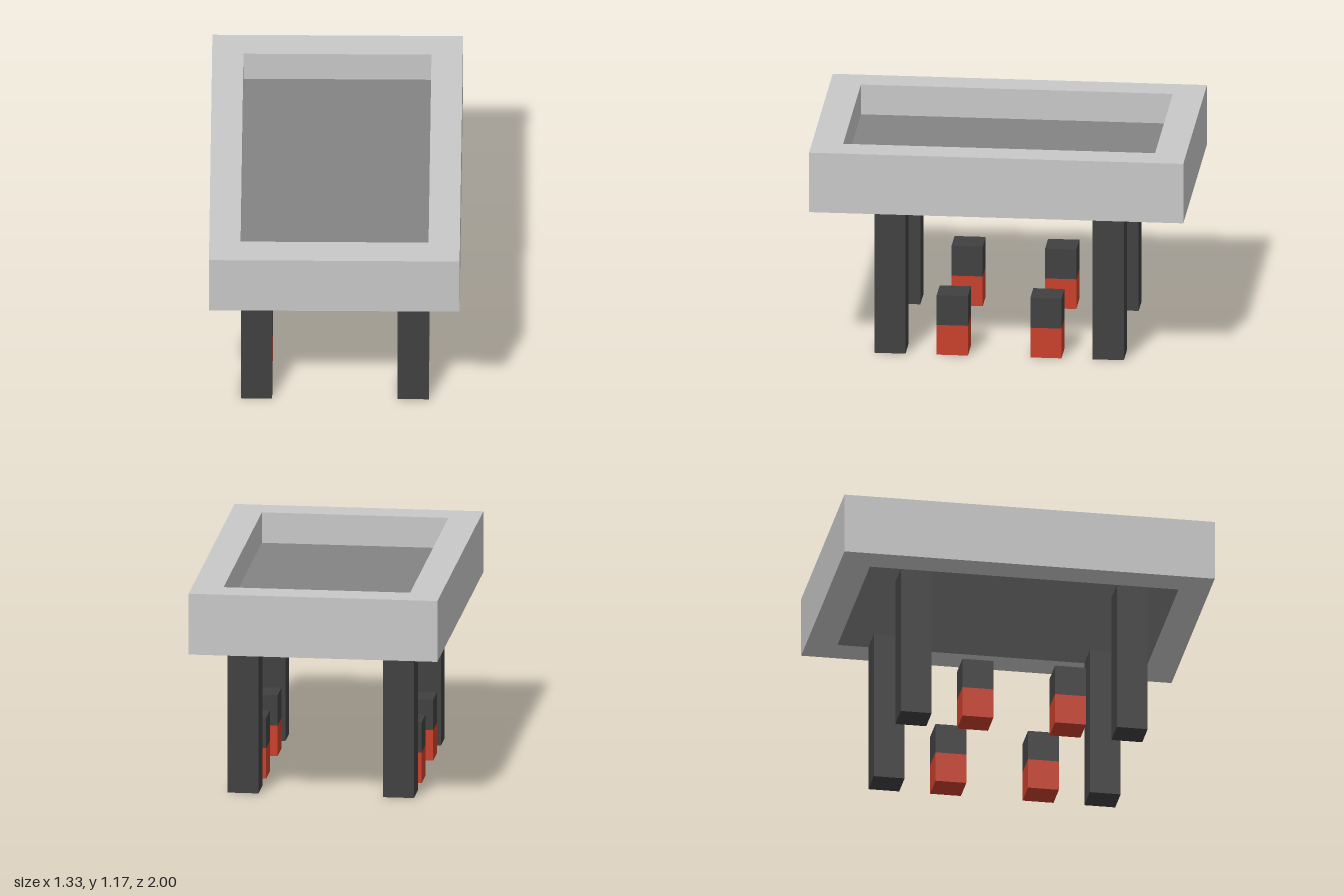
import * as THREE from 'three';

const U = 1 / 6; // the model sits on a grid of this size

const material = (name, color) => new THREE.MeshStandardMaterial({ name, color });

function rectangle(Type, halfX, halfZ) {
  const p = new Type();
  p.moveTo(-halfX, -halfZ);
  p.lineTo(halfX, -halfZ);
  p.lineTo(halfX, halfZ);
  p.lineTo(-halfX, halfZ);
  p.closePath();
  return p;
}

export function createModel() {
  const model = new THREE.Group();
  model.name = 'trayTable';

  const lightGrey = material('lightGrey', 0xc8c8c8);
  const midGrey = material('midGrey', 0x848484);
  const darkGrey = material('darkGrey', 0x404040);
  const red = material('red', 0xc9402b);

  function box(name, mat, size, position) {
    const mesh = new THREE.Mesh(new THREE.BoxGeometry(...size), mat);
    mesh.name = name;
    mesh.position.set(...position);
    model.add(mesh);
  }

  // Raised rim: a rectangular frame with an open middle
  const outline = rectangle(THREE.Shape, 4 * U, 6 * U);
  outline.holes.push(rectangle(THREE.Path, 3 * U, 5 * U));
  const rimGeometry = new THREE.ExtrudeGeometry(outline, { depth: 2 * U, bevelEnabled: false });
  rimGeometry.rotateX(-Math.PI / 2);
  const rim = new THREE.Mesh(rimGeometry, lightGrey);
  rim.name = 'trayRim';
  rim.position.y = 5 * U;
  model.add(rim);

  // Sunken floor, flush with the underside of the rim
  box('trayFloor', midGrey, [6 * U, U, 10 * U], [0, 5.5 * U, 0]);

  // Four legs, with a red-footed block inside each one
  for (const sx of [-1, 1]) {
    for (const sz of [-1, 1]) {
      const x = sx * 2.5 * U;
      box('leg', darkGrey, [U, 5 * U, U], [x, 2.5 * U, sz * 3.5 * U]);
      box('blockTop', darkGrey, [U, U, U], [x, 1.5 * U, sz * 1.5 * U]);
      box('blockFoot', red, [U, U, U], [x, 0.5 * U, sz * 1.5 * U]);
    }
  }

  return model;
}
